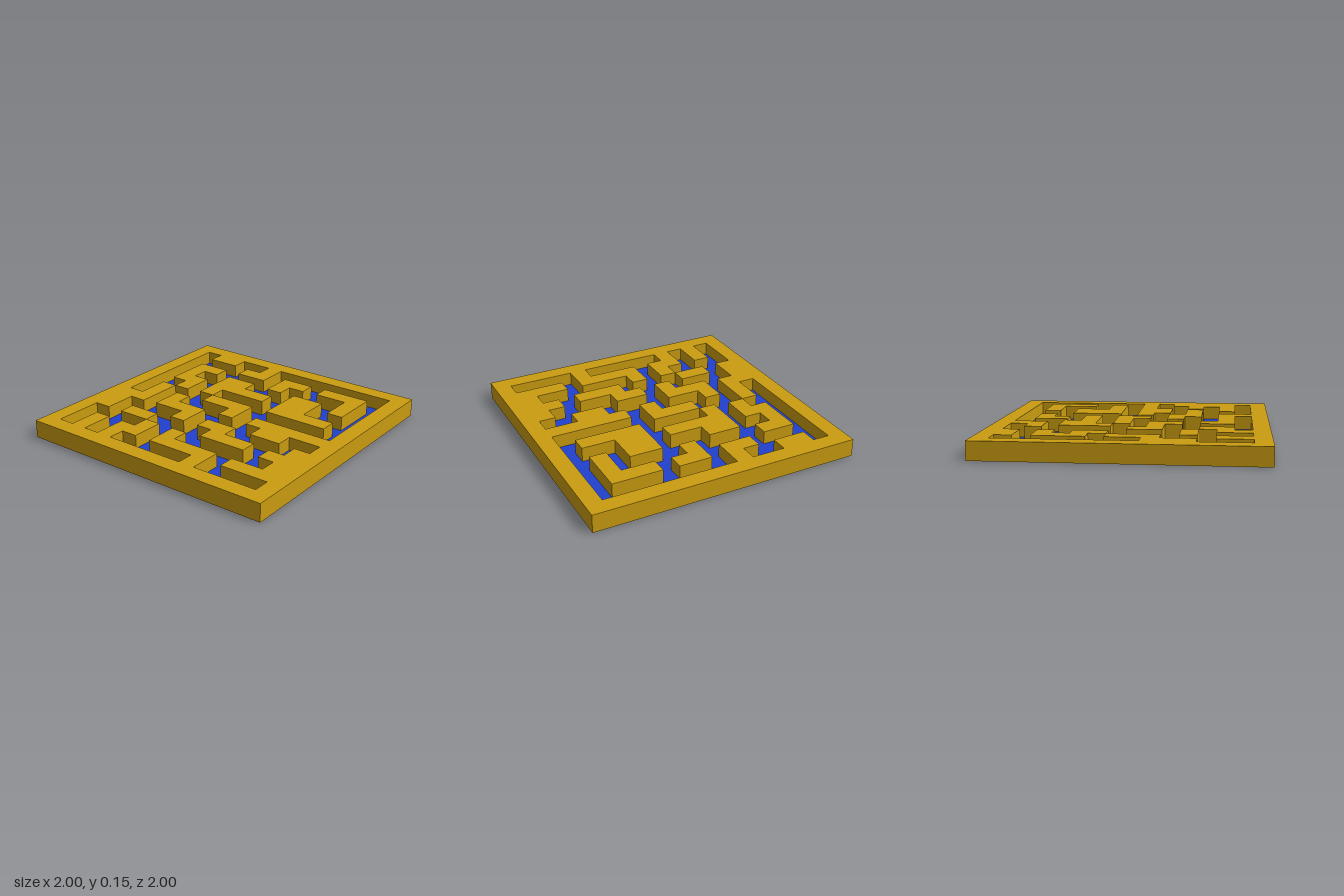
import * as THREE from 'three';

// Floor plan: '#' is a channel, '.' is wall; first row is the back.
const PLAN = [
  '................',
  '.#..##.########.',
  '.####..#..#...#.',
  '.#..####.####.#.',
  '.#.##..###..#.#.',
  '.#..#....#..###.',
  '.##.#.####....#.',
  '.#.###...######.',
  '.#.#.###.#......',
  '...#...####..##.',
  '..####.#..####..',
  '..#..####...#...',
  '.####.#.######..',
  '.#.#..#....#....',
  '.#.#.#####.####.',
  '................',
];
const N = 16, CELL = 2 / N, HALF = CELL / 2;
const BASE = 0.03, WALL_TOP = 0.134;
const SIDES = [[1, 0], [-1, 0], [0, 1], [0, -1]];

// Tops of the slightly raised islands, keyed by their first cell (row,column).
const RAISED = {
  '2,11': 0.141, '4,10': 0.141,
  '4,5': 0.146, '7,6': 0.146, '8,4': 0.146, '10,8': 0.146,
};

const isWall = (r, c) => PLAN[r]?.[c] === '.';

// Collect the connected groups of wall cells.
function findBlocks() {
  const seen = new Set(), blocks = [];
  for (let r = 0; r < N; r++) for (let c = 0; c < N; c++) {
    if (!isWall(r, c) || seen.has(`${r},${c}`)) continue;
    const cells = [[r, c]];
    seen.add(`${r},${c}`);
    for (const [i, j] of cells) for (const [dx, dz] of SIDES) {
      const next = [i + dz, j + dx];
      if (!isWall(...next) || seen.has(next.join())) continue;
      seen.add(next.join());
      cells.push(next);
    }
    blocks.push(cells);
  }
  return blocks;
}

// One top per cell, plus a side wherever the neighbour is not wall.
function blockGeometry(cells, top) {
  const pos = [];
  const quad = (a, b, c, d) => pos.push(...a, ...b, ...c, ...a, ...c, ...d);
  for (const [r, c] of cells) {
    const x = -1 + c * CELL + HALF, z = -1 + r * CELL + HALF;
    quad([x - HALF, top, z - HALF], [x - HALF, top, z + HALF],
      [x + HALF, top, z + HALF], [x + HALF, top, z - HALF]);
    for (const [dx, dz] of SIDES) {
      if (isWall(r + dz, c + dx)) continue;
      const x0 = x + (dx - dz) * HALF, x1 = x + (dx + dz) * HALF;
      const z0 = z + (dz + dx) * HALF, z1 = z + (dz - dx) * HALF;
      quad([x0, BASE, z0], [x1, BASE, z1], [x1, top, z1], [x0, top, z0]);
    }
  }
  const geo = new THREE.BufferGeometry();
  geo.setAttribute('position', new THREE.Float32BufferAttribute(pos, 3));
  geo.computeVertexNormals();
  return geo;
}

export function createModel() {
  const group = new THREE.Group();
  group.name = 'mazeBoard';
  const gold = new THREE.MeshStandardMaterial({ color: 0xc99c10 });
  gold.name = 'gold';
  const blue = new THREE.MeshStandardMaterial({ color: 0x2040cc });
  blue.name = 'blue';

  const add = (name, geo, mat, y = 0) => {
    const mesh = new THREE.Mesh(geo, mat);
    mesh.name = name;
    mesh.position.y = y;
    group.add(mesh);
  };

  // Base slab and the coloured channel floor
  add('base', new THREE.BoxGeometry(2, BASE, 2), gold, BASE / 2);
  add('channelFloor', new THREE.BoxGeometry(1.8, 0.004, 1.8), blue, BASE + 0.002);

  // Outer frame first, then the free-standing islands
  findBlocks().forEach((cells, i) => {
    const top = RAISED[cells[0].join()] ?? WALL_TOP;
    add(i === 0 ? 'outerWall' : `wallIsland${i}`, blockGeometry(cells, top), gold);
  });
  return group;
}
